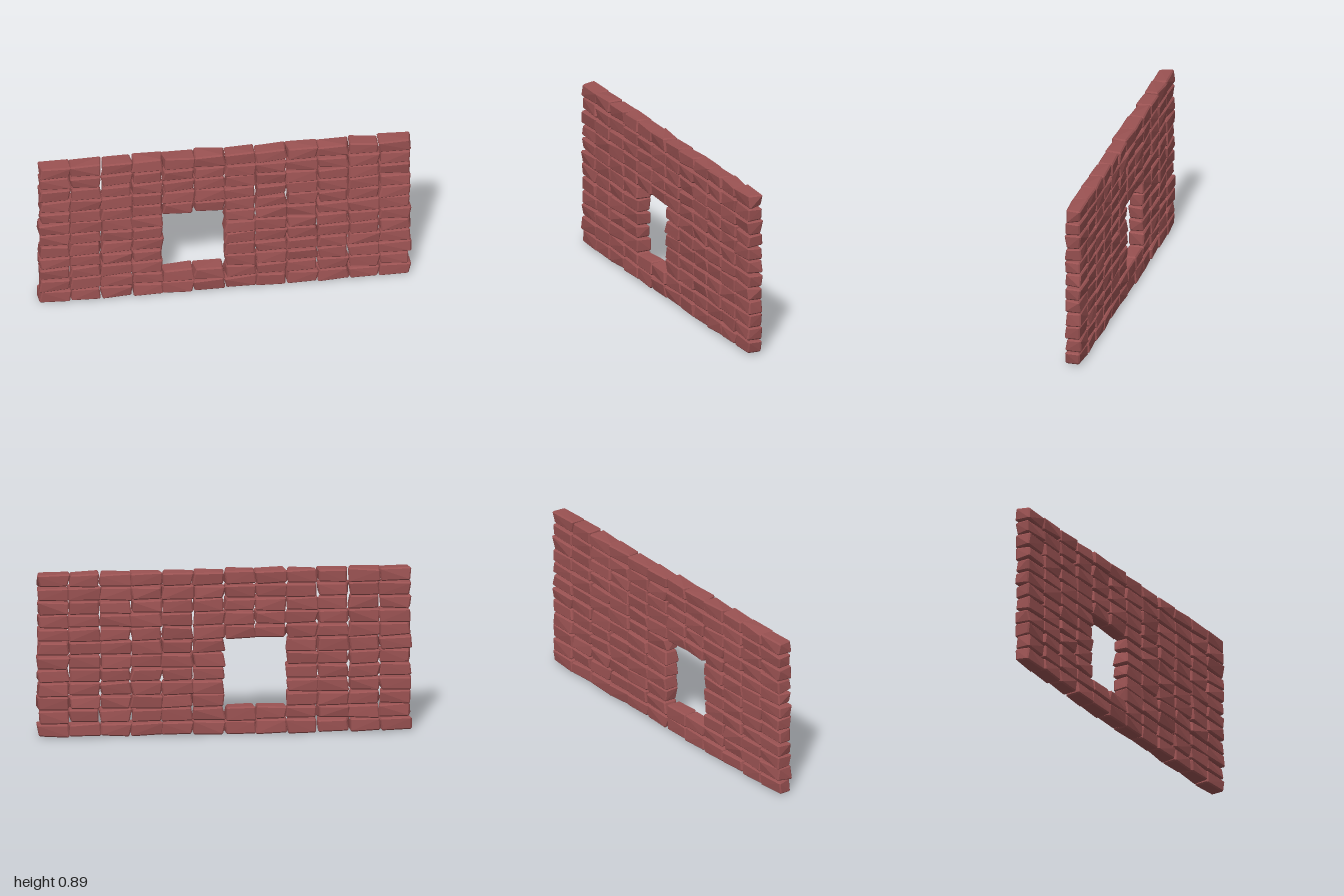
import * as THREE from 'three';
import { ConvexGeometry } from 'three/addons/geometries/ConvexGeometry.js';

const COLUMNS = 12, ROWS = 12;
const PITCH_X = 0.1637, PITCH_Y = 0.074, BASE_Y = 0.008;
const HALF = new THREE.Vector3(0.0795, 0.0345, 0.0405);
const JITTER = new THREE.Vector3(0.009, 0.0055, 0.006);
const BEVEL = 0.007;

// Small seeded generator, returning values from -1 to 1
function seeded(seed) {
  let s = seed;
  return () => {
    s = (s * 16807) % 2147483647;
    return (s / 2147483647) * 2 - 1;
  };
}

// Chamfered block whose eight corners are each nudged out of square
function brickGeometry(rand) {
  const points = [];
  for (const sx of [-1, 1]) for (const sy of [-1, 1]) for (const sz of [-1, 1]) {
    const x = sx * HALF.x + rand() * JITTER.x;
    const y = sy * HALF.y + rand() * JITTER.y;
    const z = sz * HALF.z + rand() * JITTER.z;
    const bx = x - sx * BEVEL, by = y - sy * BEVEL, bz = z - sz * BEVEL;
    points.push(
      new THREE.Vector3(x, by, bz),
      new THREE.Vector3(bx, y, bz),
      new THREE.Vector3(bx, by, z)
    );
  }
  return new ConvexGeometry(points);
}

// The window takes two columns and five courses
const isWindow = (col, row) => col >= 4 && col <= 5 && row >= 2 && row <= 6;

export function createModel() {
  const wall = new THREE.Group();
  wall.name = 'brickWall';
  const material = new THREE.MeshStandardMaterial({ color: 0x9a5252, flatShading: true });
  const rand = seeded(4211);

  // Courses of bricks, stacked in straight columns
  for (let row = 0; row < ROWS; row++) {
    const course = new THREE.Group();
    course.name = `course${row + 1}`;
    course.position.y = BASE_Y + (row + 0.5) * PITCH_Y;
    for (let col = 0; col < COLUMNS; col++) {
      if (isWindow(col, row)) continue;
      const brick = new THREE.Mesh(brickGeometry(rand), material);
      brick.name = 'brick';
      brick.position.x = (col + 0.5 - COLUMNS / 2) * PITCH_X;
      course.add(brick);
    }
    wall.add(course);
  }
  return wall;
}
